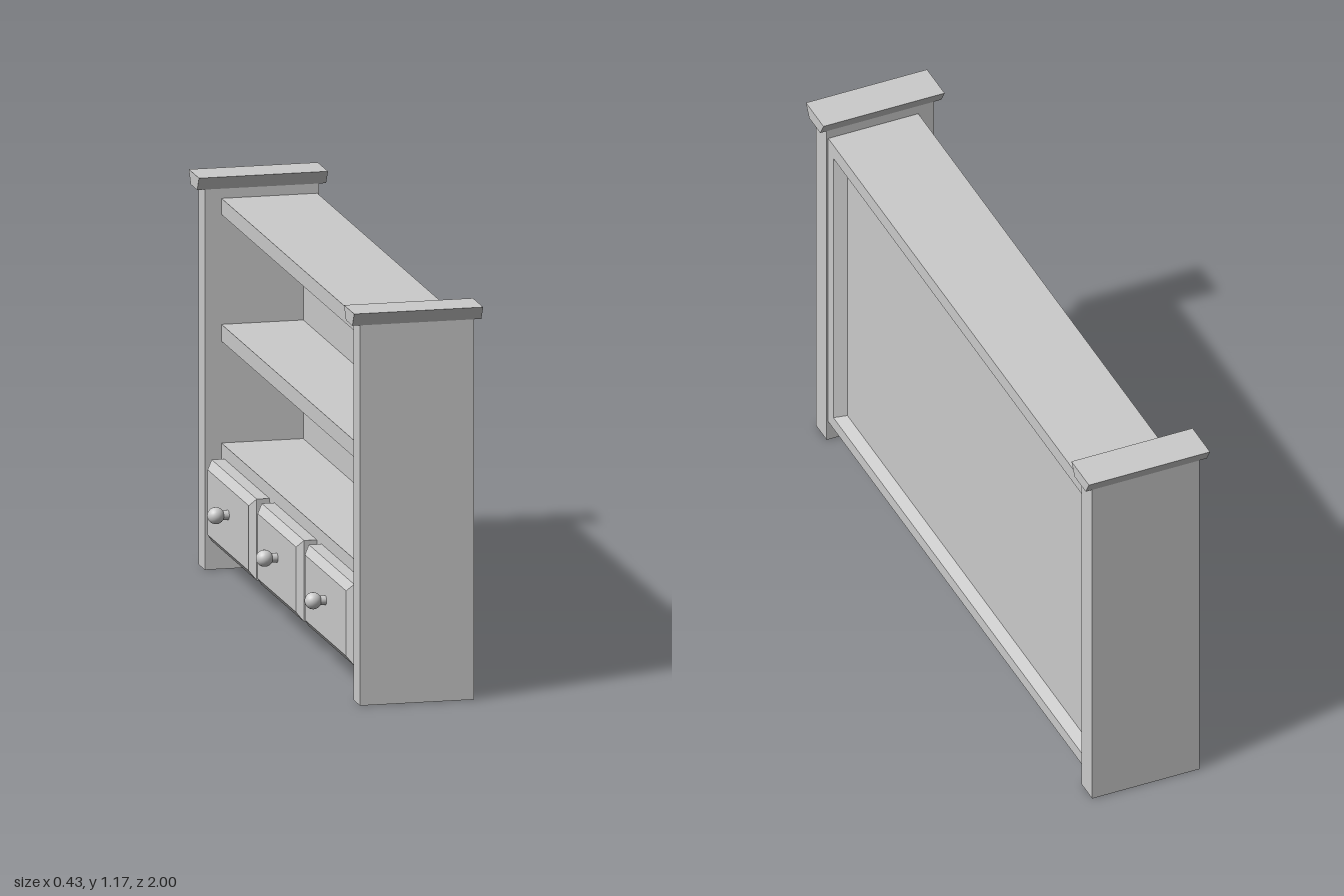
import * as THREE from 'three';

const material = new THREE.MeshStandardMaterial({ color: 0xcccccc, flatShading: true });
const smooth = new THREE.MeshStandardMaterial({ color: 0xcccccc });
const thin = new THREE.MeshStandardMaterial({ color: 0xcccccc, flatShading: true, side: THREE.DoubleSide });

export function createModel() {
  const model = new THREE.Group();
  model.name = 'bookcase';

  // Box from its limits; an optional rule moves its corners
  function box(name, [x0, x1], [y0, y1], [z0, z1], rule) {
    const geometry = new THREE.BoxGeometry(x1 - x0, y1 - y0, z1 - z0);
    geometry.translate((x0 + x1) / 2, (y0 + y1) / 2, (z0 + z1) / 2);
    if (rule) {
      const p = geometry.attributes.position;
      const v = new THREE.Vector3();
      for (let i = 0; i < p.count; i++) {
        rule(v.fromBufferAttribute(p, i));
        p.setXYZ(i, v.x, v.y, v.z);
      }
      geometry.computeVertexNormals();
    }
    const mesh = new THREE.Mesh(geometry, material);
    mesh.name = name;
    model.add(mesh);
    return mesh;
  }

  // Side walls with caps that flare outwards
  for (const s of [-1, 1]) {
    const mid = s * 0.938;
    box('sideWall', [-0.15, 0.192], [0, 1.135], [mid - 0.038, mid + 0.038]);
    box('sideCap', [-0.173, 0.213], [1.132, 1.172], [mid - 0.062, mid + 0.062], (v) => {
      if (v.y < 1.15) v.z = mid + Math.sign(v.z - mid) * 0.039;
    });
  }

  // Boards, running between the side walls
  const span = [-0.9, 0.9];
  box('topBoard', [-0.1, 0.187], [1.055, 1.103], span);
  box('middleShelf', [-0.1, 0.15], [0.678, 0.728], span);
  box('lowerShelf', [-0.1, 0.15], [0.325, 0.375], span);
  box('bottomBoard', [-0.1, 0.187], [0.065, 0.105], span);
  box('drawerCase', [-0.099, 0.15], [0.1, 0.33], span);

  // Back panel with a narrow upright strip on one side
  box('backPanel', [0.145, 0.152], [0.1, 1.06], span);
  box('backStrip', [0.145, 0.187], [0.1, 1.06], [0.864, 0.9]);

  // Sloping moulding around the recessed back
  const loop = (x, y0, y1, z0, z1) => [[x, y0, z0], [x, y1, z0], [x, y1, z1], [x, y0, z1]];
  const outer = loop(0.187, 0.105, 1.055, -0.896, 0.864);
  const inner = loop(0.152, 0.117, 1.04, -0.876, 0.842);
  const corners = [];
  for (let i = 0; i < 4; i++) {
    const j = (i + 1) % 4;
    corners.push(...outer[i], ...outer[j], ...inner[j], ...outer[i], ...inner[j], ...inner[i]);
  }
  const mouldingGeometry = new THREE.BufferGeometry();
  mouldingGeometry.setAttribute('position', new THREE.Float32BufferAttribute(corners, 3));
  mouldingGeometry.computeVertexNormals();
  const moulding = new THREE.Mesh(mouldingGeometry, thin);
  moulding.name = 'backMoulding';
  model.add(moulding);

  // Three drawers with bevelled fronts and round knobs
  const knobProfile = [[0.014, 0], [0.014, 0.018]];
  for (let i = 0; i <= 12; i++) {
    const a = 0.6 + (Math.PI - 0.6) * (i / 12);
    knobProfile.push([0.025 * Math.sin(a), 0.038 - 0.025 * Math.cos(a)]);
  }
  const knobGeometry = new THREE.LatheGeometry(knobProfile.map(([r, h]) => new THREE.Vector2(Math.max(r, 0), h)), 20);
  knobGeometry.rotateZ(Math.PI / 2);

  for (const [z0, z1] of [[-0.865, -0.32], [-0.26, 0.252], [0.31, 0.857]]) {
    const zMid = (z0 + z1) / 2;
    box('drawerBody', [-0.138, -0.095], [0.093, 0.335], [z0, z1]);
    box('drawerFront', [-0.156, -0.138], [0.093, 0.335], [z0, z1], (v) => {
      if (v.x < -0.15) {
        v.y -= Math.sign(v.y - 0.214) * 0.024;
        v.z -= Math.sign(v.z - zMid) * 0.024;
      }
    });
    const knob = new THREE.Mesh(knobGeometry, smooth);
    knob.name = 'drawerKnob';
    knob.position.set(-0.155, 0.23, zMid);
    model.add(knob);
  }

  return model;
}
